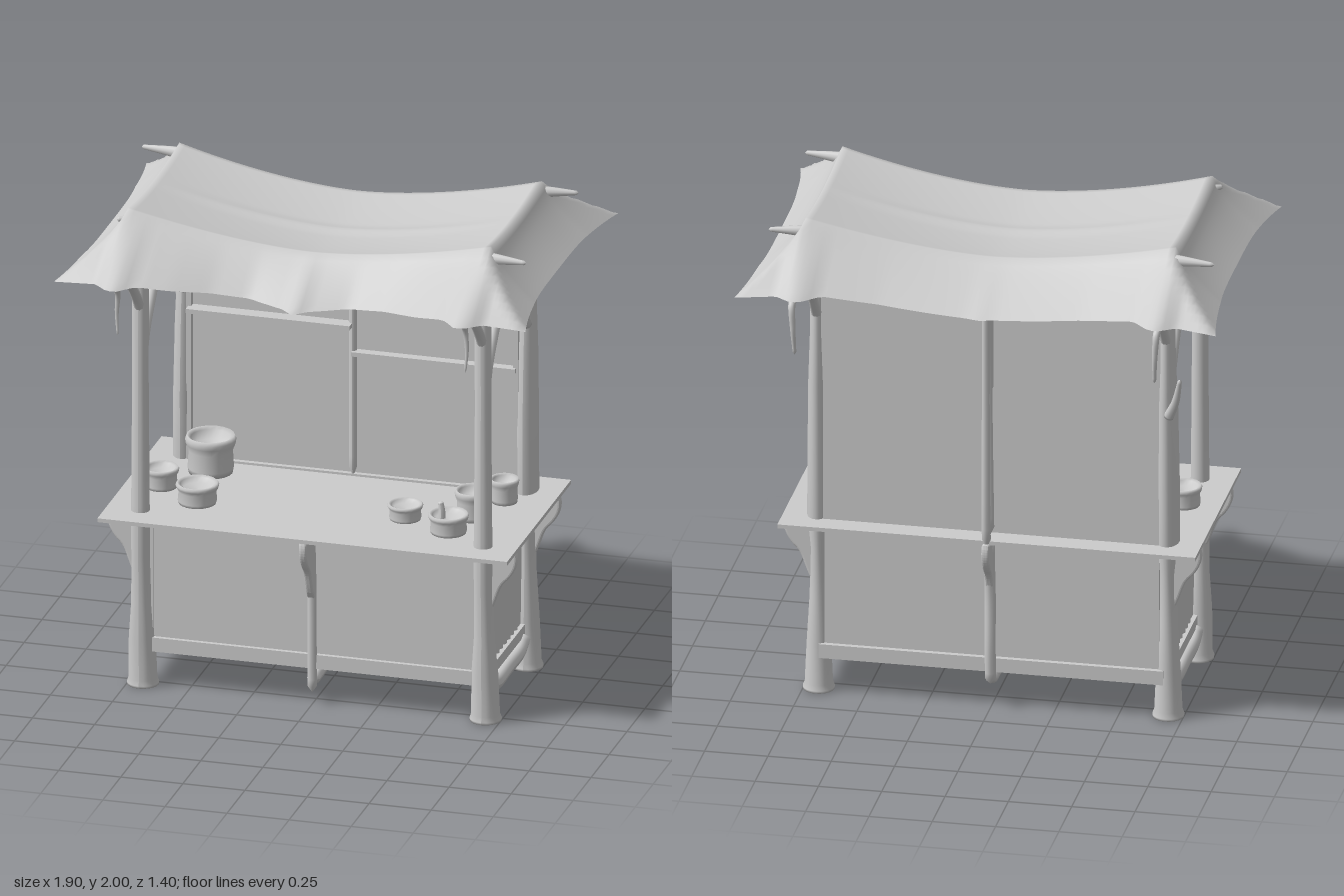
import * as THREE from 'three';

const clay = new THREE.MeshStandardMaterial({ color: 0xcccccc, side: THREE.DoubleSide });
clay.name = 'plain grey';

const V = (x, y, z) => new THREE.Vector3(x, y, z);

export function createModel() {
  const root = new THREE.Group();
  root.name = 'marketStall';

  const add = (name, geo, x = 0, y = 0, z = 0) => {
    const m = new THREE.Mesh(geo, clay);
    m.name = name;
    m.position.set(x, y, z);
    root.add(m);
    return m;
  };
  // box given by its limits on each axis
  const box = (name, x0, x1, y0, y1, z0, z1) =>
    add(name, new THREE.BoxGeometry(x1 - x0, y1 - y0, z1 - z0), (x0 + x1) / 2, (y0 + y1) / 2, (z0 + z1) / 2);
  // round limb along a smooth path, tapering from r0 to r1, with closed ends
  const limb = (name, pts, r0, r1 = r0) => {
    const n = 24, sides = 10;
    const curve = new THREE.CatmullRomCurve3(pts);
    const geo = new THREE.TubeGeometry(curve, n, 1, sides);
    const p = geo.attributes.position, v = V(0, 0, 0);
    for (let i = 0; i <= n; i++) {
      const c = curve.getPointAt(i / n);
      const r = i === 0 || i === n ? 0.0005 : r0 + (r1 - r0) * i / n;
      for (let j = 0; j <= sides; j++) {
        const q = i * (sides + 1) + j;
        v.fromBufferAttribute(p, q).sub(c).multiplyScalar(r).add(c);
        p.setXYZ(q, v.x, v.y, v.z);
      }
    }
    geo.computeVertexNormals();
    return add(name, geo);
  };
  const lathe = (prof) => new THREE.LatheGeometry(prof.map(([r, y]) => new THREE.Vector2(r, y)), 20);
  // piecewise linear lookup
  const lookup = (table, x) => {
    for (let i = 1; i < table.length; i++) {
      const [x0, y0] = table[i - 1], [x1, y1] = table[i];
      if (x <= x1) return y0 + (y1 - y0) * (x - x0) / (x1 - x0);
    }
    return table[table.length - 1][1];
  };

  // curved bracket profile, reaching outward along +x
  const bracketShape = new THREE.Shape();
  bracketShape.moveTo(0, 0.46);
  bracketShape.bezierCurveTo(0.04, 0.54, 0.03, 0.57, 0.075, 0.61);
  bracketShape.bezierCurveTo(0.11, 0.65, 0.115, 0.69, 0.105, 0.715);
  bracketShape.lineTo(0, 0.715);
  const bracketGeo = new THREE.ExtrudeGeometry(bracketShape, {
    depth: 0.012, bevelEnabled: true, bevelSize: 0.01, bevelThickness: 0.01, bevelSegments: 3, curveSegments: 10 });
  bracketGeo.translate(0, 0, -0.006);
  const bracket = (name, x, z, turn) => { add(name, bracketGeo, x, 0, z).rotation.y = turn; };

  // posts, braces and fittings, mirrored left and right
  for (const s of [-1, 1]) {
    // front post leans outward a little; back post is flattened sideways
    const front = lathe([[0, 0.02], [0.062, 0], [0.063, 0.01], [0.056, 0.03], [0.052, 0.2], [0.04, 0.35], [0.036, 0.55],
      [0.038, 0.7], [0.036, 0.76], [0.032, 1.3], [0.033, 1.82], [0, 1.82]]);
    const back = lathe([[0, 0.02], [0.062, 0], [0.063, 0.01], [0.056, 0.03], [0.052, 0.2], [0.043, 0.4], [0.044, 0.6],
      [0.066, 0.74], [0.071, 1], [0.064, 1.3], [0.052, 1.5], [0.044, 1.82], [0, 1.82]]);
    for (const g of [front, back]) {
      const p = g.attributes.position;
      for (let i = 0; i < p.count; i++) {
        const y = p.getY(i);
        if (g === front) p.setZ(i, p.getZ(i) + 0.037 * Math.min(1, y / 0.6));
        else {
          p.setX(i, p.getX(i) * (1 - 0.4 * Math.min(1, y / 0.9)));
          p.setZ(i, p.getZ(i) - 0.022 * Math.max(0, (y - 1) / 0.8));
        }
      }
      g.computeVertexNormals();
    }
    add('frontPost', front, s * 0.69, 0, 0.28);
    add('backPost', back, s * 0.69, 0, -0.302);

    for (const z of [0.3, -0.31]) bracket('cornerBracket', s * 0.705, z, s > 0 ? 0 : Math.PI);

    // forked braces under the eaves
    const x = s * 0.69;
    limb('sideBrace', [V(x, 1.36, 0.31), V(x, 1.47, 0.26), V(x, 1.62, 0.13), V(x, 1.78, -0.005)], 0.026, 0.02);
    limb('sideBrace', [V(x, 1.42, -0.29), V(x, 1.5, -0.23), V(x, 1.63, -0.12), V(x, 1.78, -0.005)], 0.026, 0.02);
    limb('frontEaveBrace', [V(x, 1.56, 0.31), V(x, 1.64, 0.37), V(x, 1.72, 0.45), V(x, 1.79, 0.55)], 0.022, 0.016);
    limb('backEaveBrace', [V(x, 1.56, -0.32), V(x, 1.64, -0.38), V(x, 1.72, -0.45), V(x, 1.79, -0.56)], 0.022, 0.016);
    limb('sideBeam', [V(x, 1.755, 0.42), V(x, 1.745, 0), V(x, 1.755, -0.42)], 0.026);

    // torn strips hanging from the cloth
    limb('hangingStrip', [V(s * 0.7, 1.79, 0.63), V(s * 0.7, 1.74, 0.6), V(s * 0.705, 1.66, 0.595), V(s * 0.7, 1.57, 0.6)], 0.014, 0.004);
    limb('hangingStrip', [V(s * 0.72, 1.78, -0.63), V(s * 0.72, 1.77, -0.68), V(s * 0.715, 1.68, -0.69), V(s * 0.71, 1.56, -0.675)], 0.016, 0.007);

    // rippled side wall and rails
    const ripple = new THREE.BoxGeometry(0.02, 0.54, 0.56, 1, 1, 96);
    const p = ripple.attributes.position;
    for (let i = 0; i < p.count; i++)
      if (p.getX(i) * s > 0 && Math.abs(p.getZ(i)) < 0.2)
        p.setX(i, p.getX(i) + s * 0.006 * Math.sin(p.getZ(i) * Math.PI * 2 / 0.05));
    ripple.computeVertexNormals();
    add('sidePanel', ripple, s * 0.667, 0.455, 0);
    box('sideRail', s * 0.675 - 0.02, s * 0.675 + 0.02, 0.15, 0.195, -0.28, 0.27);
    limb('lowSideRail', [V(s * 0.69, 0.15, 0.25), V(s * 0.69, 0.11, 0.18), V(s * 0.69, 0.107, 0),
      V(s * 0.69, 0.11, -0.18), V(s * 0.69, 0.15, -0.26)], 0.03);
  }

  // counter and lower cabinet
  box('counterTop', -0.825, 0.825, 0.72, 0.736, -0.445, 0.45);
  box('frontPanel', -0.66, 0.66, 0.17, 0.72, 0.275, 0.298);
  box('backPanel', -0.66, 0.66, 0.17, 0.72, -0.34, -0.32);
  box('floor', -0.66, 0.66, 0.16, 0.175, -0.33, 0.29);
  box('frontRail', -0.68, 0.68, 0.15, 0.208, 0.27, 0.315);
  box('backRail', -0.68, 0.68, 0.15, 0.208, -0.36, -0.31);
  box('frontTopRail', -0.67, 0.67, 0.7, 0.72, 0.28, 0.31);
  for (const x of [-0.655, 0.655]) box('frontPanelEdge', x - 0.012, x + 0.012, 0.2, 0.72, 0.28, 0.306);

  // centre struts, brackets and the beam under the floor
  limb('frontStrut', [V(0, 0.05, 0.31), V(0, 0.25, 0.312), V(0, 0.5, 0.315), V(0, 0.72, 0.33)], 0.019, 0.018);
  limb('backStrut', [V(0, 0.1, -0.36), V(0, 0.25, -0.37), V(0, 0.5, -0.37), V(0, 0.72, -0.4)], 0.022, 0.022);
  bracket('frontBracket', 0, 0.33, -Math.PI / 2);
  bracket('backBracket', 0, -0.355, Math.PI / 2);
  limb('floorBeam', [V(0, 0.12, -0.37), V(0, 0.11, 0), V(0, 0.1, 0.32)], 0.026);

  // thick back wall with its frame and narrow shelves
  box('backWall', -0.675, 0.675, 0.73, 1.77, -0.355, -0.27);
  for (const x of [-0.658, 0.658]) box('wallFrame', x - 0.01, x + 0.01, 0.73, 1.77, -0.28, -0.245);
  limb('wallCentrePost', [V(0, 0.73, -0.26), V(0, 1.2, -0.26), V(0, 1.78, -0.26)], 0.016);
  box('wallTopRail', -0.67, 0.67, 1.745, 1.765, -0.28, -0.25);
  box('wallBottomRail', -0.67, 0.67, 0.73, 0.745, -0.28, -0.25);
  for (const [x0, x1, y, z] of [[-0.66, 0, 1.6, -0.21], [-0.66, 0, 1.365, -0.21], [0, 0.66, 1.25, -0.23]])
    box('shelf', x0, x1, y - 0.009, y + 0.009, -0.275, z);

  // weathered posts behind the wall
  limb('backOuterPost', [V(0, 0.7, -0.44), V(0, 0.85, -0.452), V(0, 1.3, -0.455), V(0, 1.78, -0.46)], 0.018, 0.014);
  limb('backInnerPost', [V(0, 0.73, -0.385), V(0, 1.1, -0.4), V(0, 1.45, -0.41), V(0, 1.75, -0.42)], 0.02, 0.014);
  box('backPostWeb', -0.01, 0.01, 1.35, 1.76, -0.455, -0.35);
  limb('brokenBranch', [V(-0.7, 1.28, -0.36), V(-0.735, 1.36, -0.39), V(-0.76, 1.47, -0.42)], 0.022, 0.008);
  limb('frontBeam', [V(-0.69, 1.79, 0.315), V(0, 1.765, 0.315), V(0.69, 1.79, 0.315)], 0.018);

  // sagging cloth roof: sagging middle with a faint centre fold, concave sloping border, ragged hem
  const frontHem = [[0, 0.6], [0.05, 0.555], [0.2, 0.505], [0.35, 0.53], [0.5, 0.6], [0.63, 0.64], [0.68, 0.7], [0.72, 0.7], [0.78, 0.635], [0.96, 0.625]];
  const backHem = [[0, 0.6], [0.06, 0.59], [0.4, 0.595], [0.62, 0.63], [0.69, 0.7], [0.73, 0.7], [0.79, 0.65], [0.96, 0.67]];
  const N = 80, M = 60, k = 0.7, ridgeX = 0.73;
  const roofGeo = new THREE.PlaneGeometry(1, 1, N, M);
  const rp = roofGeo.attributes.position;
  for (let j = 0; j <= M; j++) for (let i = 0; i <= N; i++) {
    const s = 2 * i / N - 1, t = 2 * j / M - 1;
    const a = Math.abs(s), c = Math.abs(t);
    const b = Math.max(0, (a - k) / (1 - k)), d = Math.max(0, (c - k) / (1 - k));
    const hemX = 0.9 + 0.05 * c ** 4;
    const x = ridgeX * Math.min(a / k, 1) + b * (hemX - ridgeX);
    const ridgeZ = (t > 0 ? 0.33 : 0.34) + 0.03 * (x / 0.8) ** 2;
    const z = ridgeZ * Math.min(c / k, 1) + d * (lookup(t > 0 ? frontHem : backHem, x) - ridgeZ);
    const q = Math.min(1, x / ridgeX), w = Math.min(1, c / k);
    const fold = 0.01 * (1 - q * q) * Math.max(0, 1 - w * 6);
    const top = 1.89 + 0.11 * q ** 1.7 - (0.02 + 0.014 * (1 - q * q)) * (1 - w * w) + fold;
    const hem = 1.73 + 0.06 * Math.min(1, x / 0.6) ** 1.5 - 0.015 * b * d;
    const m = Math.max(b ** 0.75, d ** 0.88);
    rp.setXYZ(j * (N + 1) + i, Math.sign(s) * x, top + (hem - top) * m, Math.sign(t) * z);
  }
  roofGeo.computeVertexNormals();
  add('clothRoof', roofGeo);

  // horns growing from the ridge ends: x direction, z, tip x
  for (const [s, z, tip] of [[1, 0.36, 0.88], [-1, 0.355, 0.77], [1, -0.385, 0.87], [-1, -0.385, 0.89]])
    limb('ridgeHorn', [V(s * 0.68, 1.945, z * 0.95), V(s * 0.74, 1.952, z * 0.98), V(s * tip, 1.955, z * 1.025)], 0.03, 0.008);

  // bowls and pots on the counter: x, z, radius, height
  const bowls = [[-0.54, -0.145, 0.1, 0.155], [-0.5, 0.18, 0.085, 0.085], [-0.68, 0.06, 0.07, 0.085],
    [0.32, 0.12, 0.07, 0.065], [0.52, 0.21, 0.08, 0.08], [0.57, 0.04, 0.072, 0.12], [0.64, -0.155, 0.058, 0.1]];
  for (const [x, z, r, h] of bowls)
    add('bowl', lathe([[0, 0], [r * 0.86, 0], [r * 0.9, h * 0.15], [r * 0.86, h * 0.6], [r * 0.97, h * 0.78], [r, h * 0.9],
      [r * 0.93, h], [r * 0.78, h * 0.93], [r * 0.68, h * 0.7], [0, h * 0.65]].reverse()), x, 0.735, z);
  limb('spoon', [V(0.49, 0.78, 0.2), V(0.49, 0.82, 0.2), V(0.485, 0.855, 0.2)], 0.016, 0.01);

  return root;
}
